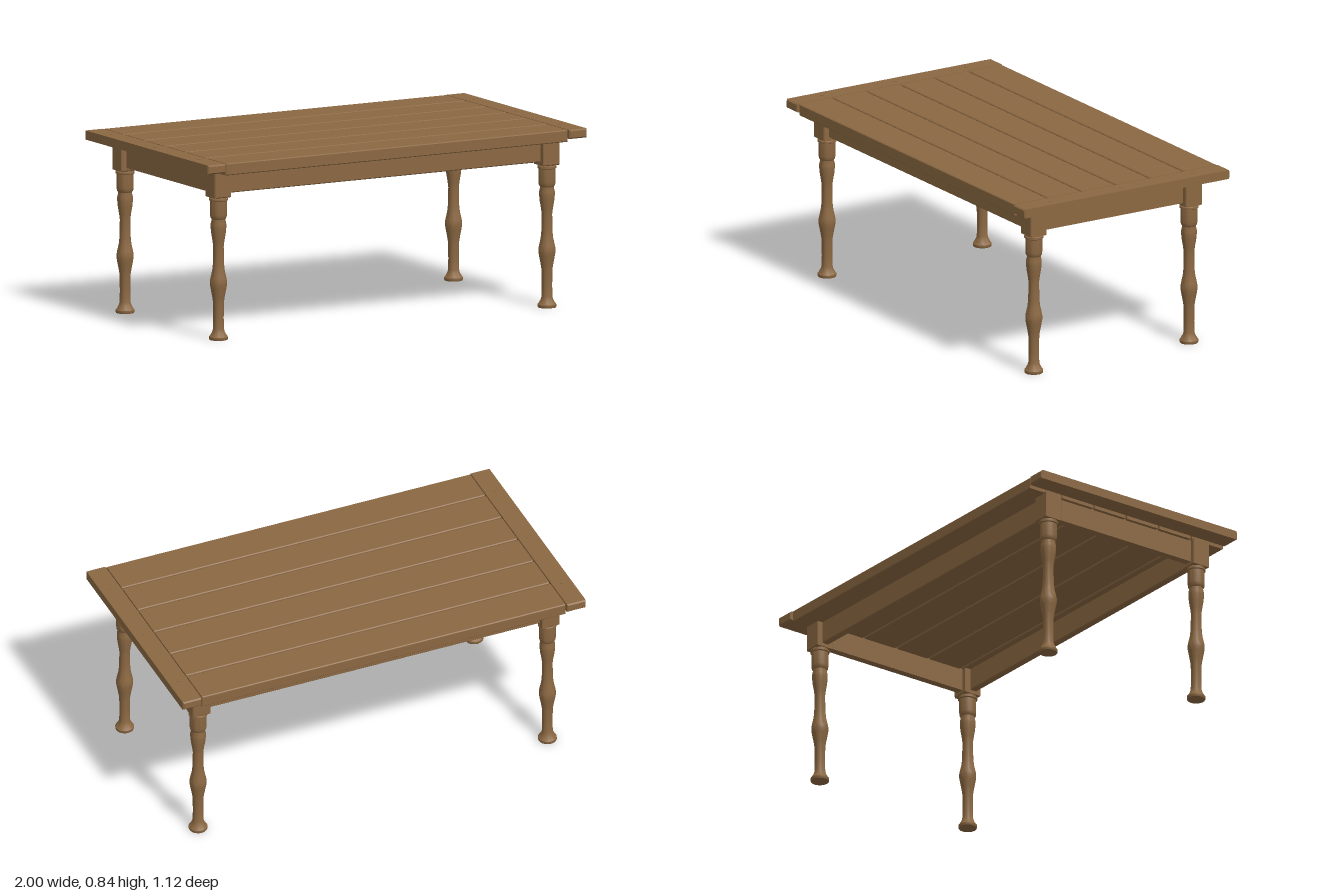
import * as THREE from 'three';
import { toCreasedNormals } from 'three/addons/utils/BufferGeometryUtils.js';

const wood = new THREE.MeshStandardMaterial({ color: 0x8b6842 });
wood.name = 'brown wood';

// Box with a small chamfer on every edge
function chamferBox(w, h, d, b = 0.004) {
  const x = w / 2 - b, y = h / 2 - b;
  const shape = new THREE.Shape([
    new THREE.Vector2(-x, -y), new THREE.Vector2(x, -y),
    new THREE.Vector2(x, y), new THREE.Vector2(-x, y),
  ]);
  const geo = new THREE.ExtrudeGeometry(shape, {
    depth: d - 2 * b, bevelEnabled: true, bevelSize: b, bevelThickness: b, bevelSegments: 1,
  });
  return geo.translate(0, 0, -(d - 2 * b) / 2);
}

function add(parent, name, geo, x = 0, y = 0, z = 0) {
  const mesh = new THREE.Mesh(geo, wood);
  mesh.name = name;
  mesh.position.set(x, y, z);
  parent.add(mesh);
  return mesh;
}

export function createModel() {
  const table = new THREE.Group();
  table.name = 'farmhouseTable';

  // Table top: six long planks with recessed tongues in the gaps
  const top = new THREE.Group();
  top.name = 'tableTop';
  table.add(top);
  const count = 6, pitch = 0.1845, plankWidth = 0.177;
  const plankGeo = chamferBox(1.804, 0.055, plankWidth);
  const tongueGeo = new THREE.BoxGeometry(1.76, 0.025, 0.03);
  for (let i = 0; i < count; i++) {
    const z = (i - (count - 1) / 2) * pitch;
    add(top, 'plank', plankGeo, 0, 0.8065, z);
    if (i < count - 1) add(top, 'plankTongue', tongueGeo, 0, 0.8075, z + pitch / 2);
  }

  // End boards across the planks, each with a tenon and three pegs
  const boardGeo = chamferBox(0.093, 0.042, 1.115, 0.006);
  const tenonGeo = new THREE.BoxGeometry(0.06, 0.016, 1.06);
  const pegGeo = new THREE.CylinderGeometry(0.009, 0.009, 0.008, 12);
  for (const s of [-1, 1]) {
    add(top, 'endBoard', boardGeo, s * 0.9535, 0.813, 0);
    add(top, 'endTenon', tenonGeo, s * 0.9, 0.81, 0);
    for (const z of [-0.39, 0, 0.39]) add(top, 'peg', pegGeo, s * 0.953, 0.832, z);
  }

  // Turned legs with square blocks
  const legX = 0.867, legZ = 0.421;
  const profile = [
    [0, 0], [0.041, 0], [0.043, 0.004], [0.043, 0.014], [0.038, 0.02], [0.029, 0.036], [0.025, 0.05],
    [0.024, 0.1], [0.025, 0.175], [0.029, 0.2], [0.036, 0.237], [0.039, 0.255], [0.039, 0.27],
    [0.036, 0.287], [0.029, 0.318], [0.026, 0.345], [0.024, 0.43], [0.027, 0.455], [0.033, 0.49],
    [0.036, 0.52], [0.036, 0.535], [0.032, 0.552], [0.032, 0.558], [0.037, 0.565], [0.039, 0.58],
    [0.039, 0.642], [0.044, 0.645], [0.044, 0.654], [0.04, 0.657], [0.04, 0.67],
  ].map(([r, y]) => new THREE.Vector2(r, y));
  const legGeo = toCreasedNormals(new THREE.LatheGeometry(profile, 24), 0.6);
  const blockGeo = chamferBox(0.088, 0.13, 0.088);
  for (const sx of [-1, 1]) {
    for (const sz of [-1, 1]) {
      const leg = new THREE.Group();
      leg.name = 'leg';
      leg.position.set(sx * legX, 0, sz * legZ);
      table.add(leg);
      add(leg, 'turnedLeg', legGeo);
      add(leg, 'legBlock', blockGeo, 0, 0.725, 0);
    }
  }

  // Aprons between the blocks
  const longApron = chamferBox(1.67, 0.108, 0.036);
  const shortApron = chamferBox(0.036, 0.108, 0.78);
  for (const s of [-1, 1]) {
    add(table, 'longApron', longApron, 0, 0.73, s * legZ);
    add(table, 'shortApron', shortApron, s * legX, 0.73, 0);
  }
  return table;
}
